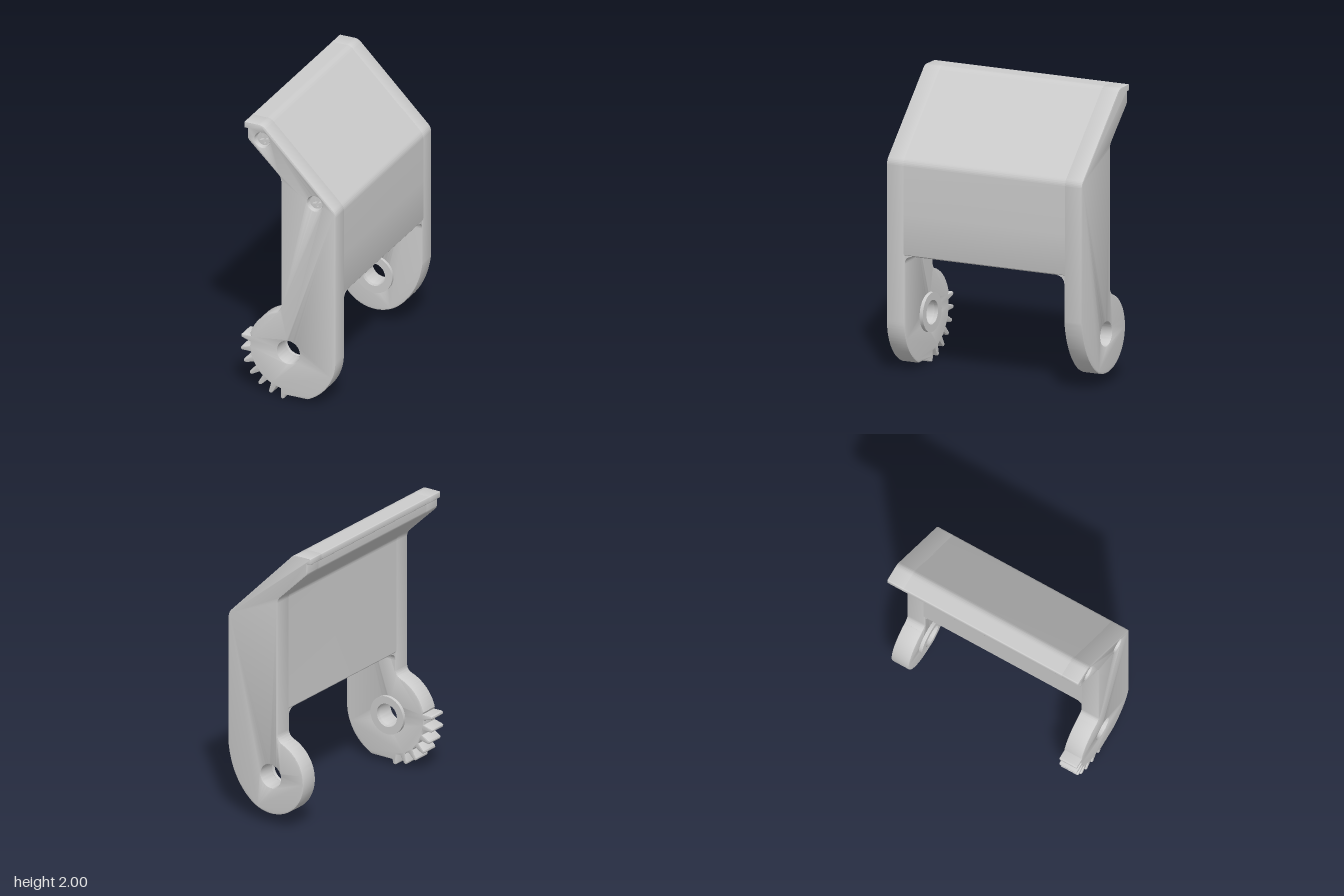
import * as THREE from 'three';
import { toCreasedNormals } from 'three/addons/utils/BufferGeometryUtils.js';

const CY = 0.355;                    // pivot height
const Z_BACK = -0.737, Z_FRONT = 0.738, T = 0.136;  // arm outer faces and thickness
const rad = THREE.MathUtils.degToRad;
const material = new THREE.MeshStandardMaterial({ color: 0xcccccc });

function mesh(name, geometry) {
  const m = new THREE.Mesh(toCreasedNormals(geometry, 0.5), material);
  m.name = name;
  return m;
}

// extrude along z from z0 to z1, optionally with softened edges
function slab(shape, z0, z1, bevel = 0) {
  const g = new THREE.ExtrudeGeometry(shape, {
    depth: z1 - z0 - 2 * bevel, curveSegments: 28, bevelEnabled: bevel > 0,
    bevelThickness: bevel, bevelSize: bevel, bevelOffset: -bevel, bevelSegments: 2,
  });
  return g.translate(0, 0, z0 + bevel);
}

function circle(x, y, r) {
  return new THREE.Path().absarc(x, y, r, 0, Math.PI * 2, true);
}

// line through corners [x, y, radius], each softened by its radius
function roundedLine(path, corners) {
  corners.forEach(([x, y, r], i) => {
    const next = corners[i + 1];
    if (!r || !next) { path.lineTo(x, y); return; }
    const c = new THREE.Vector2(x, y);
    const a = path.currentPoint.clone().sub(c).setLength(r).add(c);
    const b = new THREE.Vector2(next[0], next[1]).sub(c).setLength(r).add(c);
    path.lineTo(a.x, a.y);
    path.quadraticCurveTo(x, y, b.x, b.y);
  });
}

// shared upper outline, from the outer edge over the lip to the inner edge
const upper = [
  [0.35, 1.455, 0.03], [-0.19, 2, 0.03], [-0.328, 2, 0.008], [-0.328, 1.955, 0.008],
  [-0.302, 1.955], [-0.302, 1.88, 0.02], [-0.055, 1.64, 0.03],
];

const screws = [[-0.195, 1.89], [0.195, 1.5]];

function gearArmShape() {
  const s = new THREE.Shape();
  s.moveTo(0.35, CY);
  roundedLine(s, [...upper, [-0.055, 0.69]]);
  s.quadraticCurveTo(-0.055, 0.65, -0.09, 0.636);
  s.absarc(0, CY, 0.295, rad(107.7), rad(164), false);
  // seven teeth on the lower quarter
  const profile = [[-4.4, 0.285], [-3.1, 0.32], [-2.2, 0.347], [-0.9, 0.355],
    [0.9, 0.355], [2.2, 0.347], [3.1, 0.32], [4.4, 0.285]];
  for (let i = 0; i < 7; i++) {
    const points = i < 6 ? profile : profile.slice(0, 7);
    for (const [da, r] of points) {
      const a = rad(171 + i * 15.25 + da);
      s.lineTo(r * Math.cos(a), CY + r * Math.sin(a));
    }
  }
  s.lineTo(0.14, 0.035);
  s.absarc(0, CY, 0.35, rad(-66), 0, false);
  s.holes.push(circle(0, CY, 0.083));
  for (const [x, y] of screws) s.holes.push(circle(x, y, 0.055));
  return s;
}

function plainArmShape() {
  const s = new THREE.Shape();
  s.moveTo(0.35, 0.5);
  roundedLine(s, [...upper, [-0.055, 0.67]]);
  s.quadraticCurveTo(-0.055, 0.63, -0.09, 0.61);
  s.absarc(0, CY, 0.27, rad(109.5), rad(309), false);
  s.quadraticCurveTo(0.32, 0.27, 0.35, 0.5);
  s.holes.push(circle(0, CY, 0.083));
  return s;
}

function panelShape() {
  const s = new THREE.Shape();
  s.moveTo(0.35, 1.1);
  roundedLine(s, [...upper, [-0.055, 0.81, 0.012], [0.35, 0.81, 0.02], [0.35, 1.1]]);
  return s;
}

// recessed screw head with a cross-shaped socket
function screw(x, y) {
  const g = new THREE.Group();
  g.name = 'screw';
  const base = new THREE.CylinderGeometry(0.047, 0.047, 0.08, 32).rotateX(Math.PI / 2);
  g.add(mesh('screwBase', base.translate(0, 0, 0.64)));
  const head = new THREE.Shape().absarc(0, 0, 0.047, 0, Math.PI * 2, false);
  const w = 0.008, l = 0.034;
  const cross = [[w, w], [w, l], [-w, l], [-w, w], [-l, w], [-l, -w], [-w, -w],
    [-w, -l], [w, -l], [w, -w], [l, -w], [l, w]];
  head.holes.push(new THREE.Path(cross.map(([a, b]) =>
    new THREE.Vector2(a, b).rotateAround(new THREE.Vector2(), 0.25))));
  g.add(mesh('screwHead', slab(head, 0.68, 0.71)));
  g.position.set(x, y, 0);
  return g;
}

export function createModel() {
  const model = new THREE.Group();
  model.name = 'hingeBracket';
  const inFront = Z_FRONT - T, inBack = Z_BACK + T;

  model.add(mesh('gearArm', slab(gearArmShape(), inFront, Z_FRONT, 0.008)));
  model.add(mesh('plainArm', slab(plainArmShape(), Z_BACK, inBack, 0.008)));
  model.add(mesh('panel', slab(panelShape(), inBack - 0.012, inFront + 0.012)));

  // pivot bosses on the inner arm faces
  const ring = new THREE.Shape().absarc(0, CY, 0.135, 0, Math.PI * 2, false);
  ring.holes.push(circle(0, CY, 0.083));
  model.add(mesh('frontBoss', slab(ring, inFront - 0.024, inFront + 0.004)));
  model.add(mesh('backBoss', slab(ring, inBack - 0.004, inBack + 0.024)));

  // rounded inside corners where the arms meet the panel
  const r = 0.05, e = 0.01;
  const corner = new THREE.Shape();
  corner.moveTo(-e, e);
  corner.lineTo(-e, -r);
  corner.lineTo(0, -r);
  corner.absarc(r, -r, r, Math.PI, Math.PI / 2, true);
  corner.lineTo(r, e);
  corner.closePath();
  const back = slab(corner, 0, 0.397).rotateY(-Math.PI / 2).translate(0.346, 0.81, inBack);
  const front = slab(corner, 0, 0.397).rotateY(Math.PI / 2).translate(-0.051, 0.81, inFront);
  model.add(mesh('backCornerFillet', back), mesh('frontCornerFillet', front));

  for (const [x, y] of screws) model.add(screw(x, y));
  return model;
}
